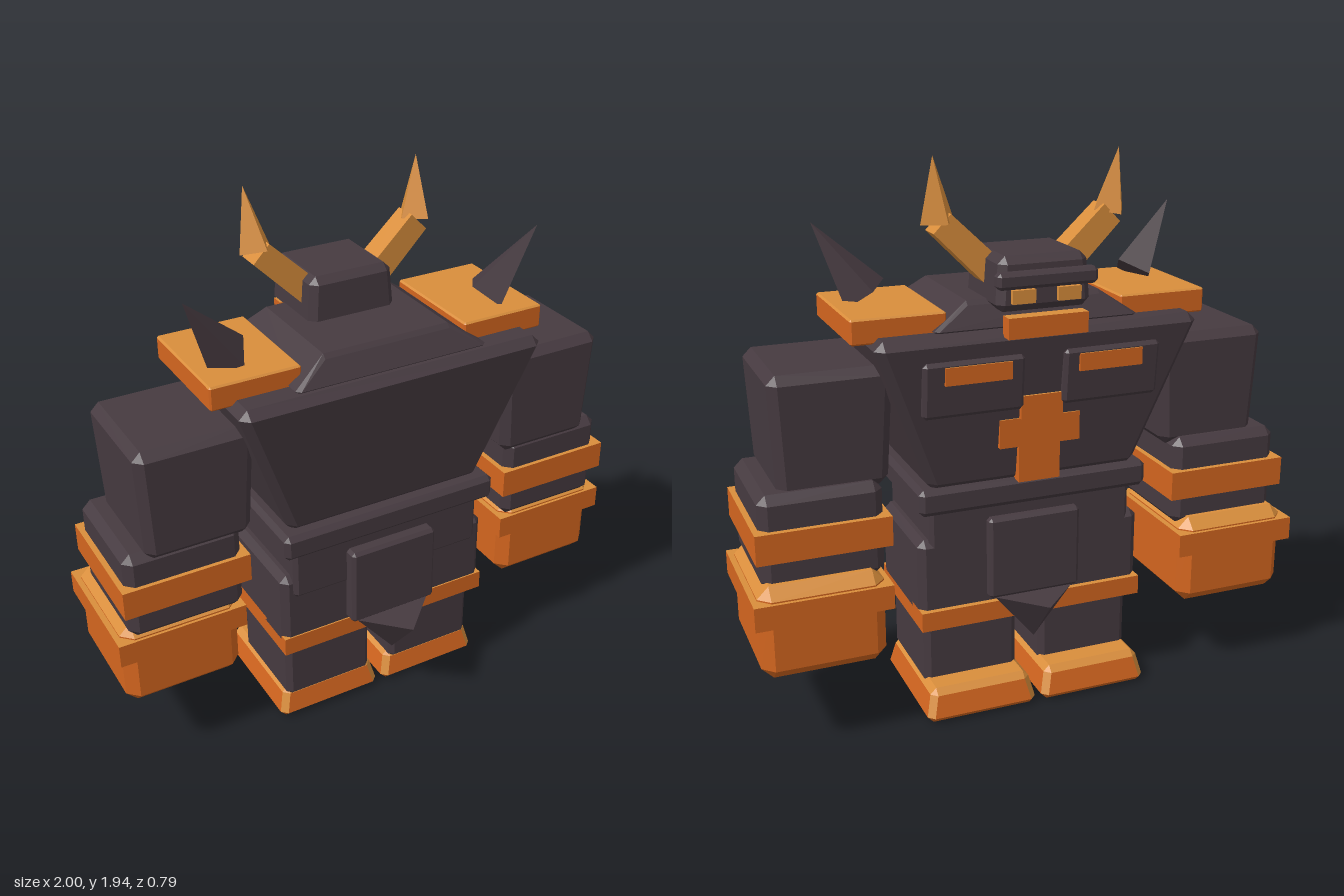
import * as THREE from 'three';
import { ConvexGeometry } from 'three/addons/geometries/ConvexGeometry.js';

const make = (name, color) => Object.assign(new THREE.MeshStandardMaterial({ color }), { name });

export function createModel() {
  const model = new THREE.Group();
  model.name = 'golem';
  const stone = make('dark stone', 0x463a40);
  const orange = make('orange trim', 0xd4661f);
  const gold = make('gold', 0xd98e3c);
  const trim = [orange, gold]; // sides and undersides orange, upward faces gold

  // Convex solid; a pair of materials is split between side and upward faces
  function hull(name, points, mat) {
    const geo = new ConvexGeometry(points.map(p => new THREE.Vector3(...p)));
    if (Array.isArray(mat)) {
      const n = geo.attributes.normal;
      for (let i = 0; i < n.count; i += 3) geo.addGroup(i, 3, n.getY(i) > 0.3 ? 1 : 0);
    }
    const mesh = new THREE.Mesh(geo, mat);
    mesh.name = name;
    model.add(mesh);
  }

  // Chamfered block between a bottom and a top rectangle [x0, x1, z0, z1]
  function block(name, y0, y1, bottom, c, mat, top = bottom) {
    const pts = [];
    [[bottom, y0, 1], [top, y1, -1]].forEach(([r, y, dy]) => {
      for (const i of [0, 1]) for (const j of [2, 3]) {
        const x = r[i], z = r[j];
        const middleX = (r[0] + r[1]) / 2;
        const ix = x - Math.sign(x - middleX) * c;
        const iz = z + (j === 2 ? c : -c);
        if (c === 0) pts.push([x, y, z]);
        else pts.push([x, y + dy * c, iz], [ix, y, iz], [ix, y + dy * c, z]);
      }
    });
    hull(name, pts, mat);
  }

  // Four-sided bar or spike running from a to b
  function taper(name, a, b, ra, rb, mat, turn = 0) {
    const A = new THREE.Vector3(...a), B = new THREE.Vector3(...b);
    const d = B.clone().sub(A).normalize();
    const u = new THREE.Vector3(-d.y, d.x, 0).normalize();
    const v = d.clone().cross(u);
    const ring = (P, r) => [0, 1, 2, 3].map(k => {
      const t = turn + k * Math.PI / 2;
      return P.clone().addScaledVector(u, r * Math.cos(t)).addScaledVector(v, r * Math.sin(t)).toArray();
    });
    hull(name, [...ring(A, ra), ...(rb ? ring(B, rb) : [b])], mat);
  }

  // Torso, neck and head
  block('torso', 0.84, 1.39, [-0.385, 0.385, -0.26, 0.21], 0.03, stone, [-0.57, 0.57, -0.33, 0.285]);
  block('trapezius', 1.38, 1.48, [-0.36, 0.36, -0.28, 0.245], 0.015, stone, [-0.25, 0.25, -0.24, 0.2]);
  block('head', 1.45, 1.63, [-0.165, 0.165, -0.33, -0.03], 0.025, stone, [-0.155, 0.155, -0.325, -0.035]);
  block('brow', 1.53, 1.585, [-0.175, 0.175, -0.36, -0.31], 0.012, stone);
  block('mouth', 1.37, 1.44, [-0.14, 0.14, -0.36, -0.31], 0, trim);

  // Pelvis, belt and chest emblem
  block('pelvis', 0.57, 0.78, [-0.375, 0.375, -0.23, 0.215], 0.015, stone);
  block('belt', 0.76, 0.855, [-0.42, 0.42, -0.27, 0.25], 0.018, stone);
  block('emblemStub', 1.08, 1.16, [-0.075, 0.075, -0.31, -0.26], 0, trim);
  block('emblemBar', 0.98, 1.08, [-0.145, 0.145, -0.295, -0.24], 0, trim);
  block('emblemBase', 0.85, 0.98, [-0.075, 0.075, -0.29, -0.23], 0, trim);

  // Hanging plates with a spike, front and rear
  for (const f of [1, -1]) {
    const z = [f * 0.2, f * 0.262].sort((a, b) => a - b);
    block('hangingPlate', 0.415, 0.715, [-0.17, 0.17, ...z], 0.012, stone);
    taper('plateSpike', [0, 0.415, f * 0.25], [0, 0.24, f * 0.25], 0.145, 0, stone);
  }

  for (const s of [1, -1]) {
    // Mirrored rectangle
    const m = (x0, x1, z0, z1) => (s > 0 ? [x0, x1, z0, z1] : [-x1, -x0, z0, z1]);

    // Face and chest details
    block('eye', 1.48, 1.525, m(0.04, 0.12, -0.345, -0.32), 0, gold);
    block('pectoral', 1.12, 1.31, m(0.07, 0.42, -0.325, -0.27), 0.012, stone, m(0.07, 0.42, -0.34, -0.29));
    block('chestStripe', 1.235, 1.295, m(0.12, 0.35, -0.345, -0.3), 0, trim);

    // Horn
    taper('hornBase', [s * 0.13, 1.56, -0.15], [s * 0.3, 1.725, -0.15], 0.065, 0.06, gold, Math.PI / 4);
    taper('hornTip', [s * 0.305, 1.73, -0.15], [s * 0.325, 1.94, -0.178], 0.065, 0, gold, 0.3);

    // Shoulder pad and spike
    block('shoulderPad', 1.37, 1.455, m(0.31, 0.63, -0.25, 0.18), 0.006, trim);
    taper('shoulderSpike', [s * 0.5, 1.47, 0.03], [s * 0.66, 1.71, 0.085], 0.085, 0, stone, 0.2);

    // Arm
    block('upperArm', 0.88, 1.29, m(0.505, 0.88, -0.225, 0.185), 0.03, stone, m(0.485, 0.895, -0.235, 0.195));
    block('forearm', 0.58, 0.91, m(0.54, 0.955, -0.265, 0.165), 0.03, stone);
    block('forearmBand', 0.69, 0.795, m(0.52, 0.975, -0.285, 0.18), 0, trim);
    block('fist', 0.285, 0.615, m(0.555, 0.98, -0.32, 0.145), 0.04, trim);
    block('wristBand', 0.485, 0.57, m(0.535, 1.0, -0.333, 0.155), 0, trim);

    // Leg
    block('thigh', 0.36, 0.655, m(0.03, 0.415, -0.23, 0.2), 0.025, stone);
    block('kneeBand', 0.33, 0.4, m(0.035, 0.415, -0.25, 0.205), 0, trim);
    block('shin', 0.09, 0.36, m(0.045, 0.39, -0.2, 0.165), 0.02, stone);
    block('foot', 0, 0.12, m(0.012, 0.418, -0.315, 0.172), 0.022, trim, m(0.03, 0.4, -0.295, 0.155));
  }
  return model;
}
